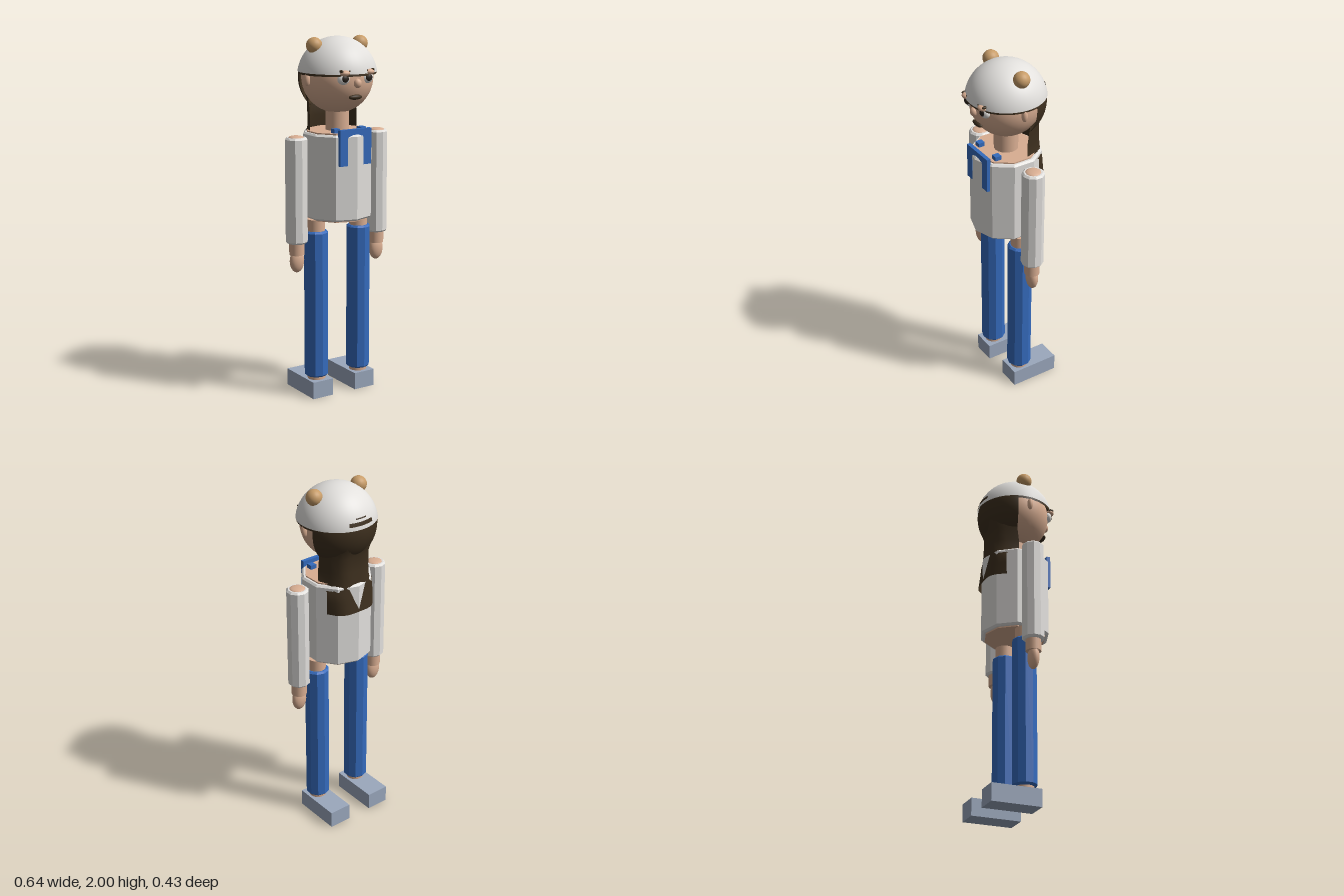
import * as THREE from 'three';

const mat = (name, color, side = THREE.FrontSide) => {
  const m = new THREE.MeshStandardMaterial({ color, side });
  m.name = name;
  return m;
};

export function createModel() {
  const skin = mat('skin', 0xd9ae92);
  const white = mat('white cloth', 0xe2e0dd, THREE.DoubleSide);
  const blue = mat('denim blue', 0x356bbd);
  const hair = mat('dark brown', 0x3d2f1e, THREE.DoubleSide);
  const tan = mat('tan', 0xc79c68);
  const grey = mat('shoe grey', 0x9ba8bd);
  const black = mat('pupil', 0x2a231d);

  const model = new THREE.Group();
  model.name = 'figure';
  const add = (name, geo, material, x = 0, y = 0, z = 0) => {
    const m = new THREE.Mesh(geo, material);
    m.name = name;
    m.position.set(x, y, z);
    model.add(m);
    return m;
  };
  const ball = (name, material, x, y, z, rx, ry = rx, rz = rx) =>
    add(name, new THREE.SphereGeometry(1, 20, 14), material, x, y, z).scale.set(rx, ry, rz);
  const rod = (name, material, r, y0, y1, x = 0, z = 0) =>
    add(name, new THREE.CylinderGeometry(r, r, y1 - y0, 20), material, x, (y0 + y1) / 2, z);
  const box = (name, material, w, h, d, x, y, z) =>
    add(name, new THREE.BoxGeometry(w, h, d), material, x, y, z);
  // Ten-sided hollow cloth tube with chamfered rims
  const sleeve = (name, material, r, inner, y0, y1, x, z = 0) => {
    const c = 0.01;
    const profile = [[inner, y0], [r - c, y0], [r, y0 + c], [r, y1 - c], [r - c, y1], [inner, y1], [inner, y0]];
    const geo = new THREE.LatheGeometry(profile.map(p => new THREE.Vector2(...p)), 10).toNonIndexed();
    geo.computeVertexNormals();
    return add(name, geo, material, x, 0, z);
  };
  // Patch of a sphere around the head centre, facing backwards
  const headY = 1.784;
  const backPatch = (name, r, width, t0, t1) =>
    add(name, new THREE.SphereGeometry(r, 24, 10, 1.5 * Math.PI - width / 2, width, t0, t1 - t0), hair, 0, headY);

  // Head, helmet and hair under the helmet
  add('head', new THREE.SphereGeometry(0.195, 32, 24), skin, 0, headY);
  add('helmet', new THREE.SphereGeometry(0.217, 40, 16, 0, Math.PI * 2, 0, 1.428), white, 0, headY);
  add('hairCap', new THREE.SphereGeometry(0.212, 40, 16, 0, Math.PI * 2, 0, 1.48), hair, 0, headY);
  backPatch('backHair', 0.212, Math.PI - 0.56, 1.4, 2.35);
  backPatch('helmetHairStrip', 0.219, 0.72, 1.236, 1.33);
  backPatch('helmetHairSliver', 0.219, 0.34, 1.14, 1.17);

  // Long hair panel: rows of [y, edge z, middle z]
  const rows = [[1.74, -0.08, -0.2], [1.7, -0.06, -0.188], [1.64, -0.045, -0.163], [1.56, -0.035, -0.166],
    [1.5, -0.035, -0.171], [1.46, -0.11, -0.175], [1.4, -0.11, -0.182], [1.33, -0.108, -0.192]];
  const cols = 12;
  const panel = new THREE.PlaneGeometry(2, 1, cols, rows.length - 1);
  const pos = panel.attributes.position;
  for (let i = 0; i < pos.count; i++) {
    const u = pos.getX(i);
    const [y, edge, mid] = rows[Math.floor(i / (cols + 1))];
    pos.setXYZ(i, u * 0.152, y, mid + (edge - mid) * u ** 4);
  }
  panel.computeVertexNormals();
  add('longHair', panel, hair);

  // Face centre
  ball('nose', skin, 0, 1.765, 0.195, 0.022, 0.025, 0.02);
  ball('mouth', hair, 0, 1.69, 0.174, 0.041, 0.014, 0.016);

  // Neck and torso
  rod('neck', skin, 0.065, 1.47, 1.63);
  const body = add('body', new THREE.CylinderGeometry(0.172, 0.172, 0.484, 10), skin, 0, 1.255, 0.003);
  body.geometry = body.geometry.toNonIndexed();
  body.geometry.computeVertexNormals();
  sleeve('shirt', white, 0.193, 0.165, 1.02, 1.49, 0, 0.003);

  // Bib bar across the chest
  box('bibBar', blue, 0.2, 0.045, 0.022, 0, 1.4975, 0.17);

  // Mirrored parts
  for (const s of [-1, 1]) {
    ball('helmetEar', tan, s * 0.146, 1.956, 0, 0.044);
    ball('ear', skin, s * 0.199, 1.78, 0.015, 0.018, 0.035, 0.016);

    ball('eyeWhite', white, s * 0.075, 1.79, 0.174, 0.036, 0.031, 0.024);
    ball('pupil', black, s * 0.075, 1.792, 0.188, 0.023, 0.021, 0.014);
    ball('eyelid', skin, s * 0.077, 1.822, 0.19, 0.029, 0.016, 0.025);
    for (const d of [-0.022, 0.022])
      ball('brow', hair, s * 0.077 + d, 1.832, 0.19, 0.008, 0.008, 0.016);

    box('bibStrap', blue, 0.05, 0.195, 0.022, s * 0.075, 1.4225, 0.17);
    box('strapEnd', blue, 0.035, 0.035, 0.036, s * 0.083, 1.5025, 0.11);

    sleeve('shirtSleeve', white, 0.0615, 0.04, 0.895, 1.475, s * 0.263);
    rod('arm', skin, 0.042, 0.83, 1.475, s * 0.263);
    ball('shoulder', skin, s * 0.263, 1.473, 0, 0.042, 0.012, 0.042);
    ball('hand', skin, s * 0.263, 0.795, 0, 0.043, 0.066, 0.03);

    sleeve('trouserLeg', blue, 0.068, 0.048, 0.115, 0.95, s * 0.14);
    rod('leg', skin, 0.05, 0.09, 1.015, s * 0.14);
    box('shoe', grey, 0.13, 0.097, 0.28, s * 0.139, 0.0485, -0.07);
  }
  return model;
}
